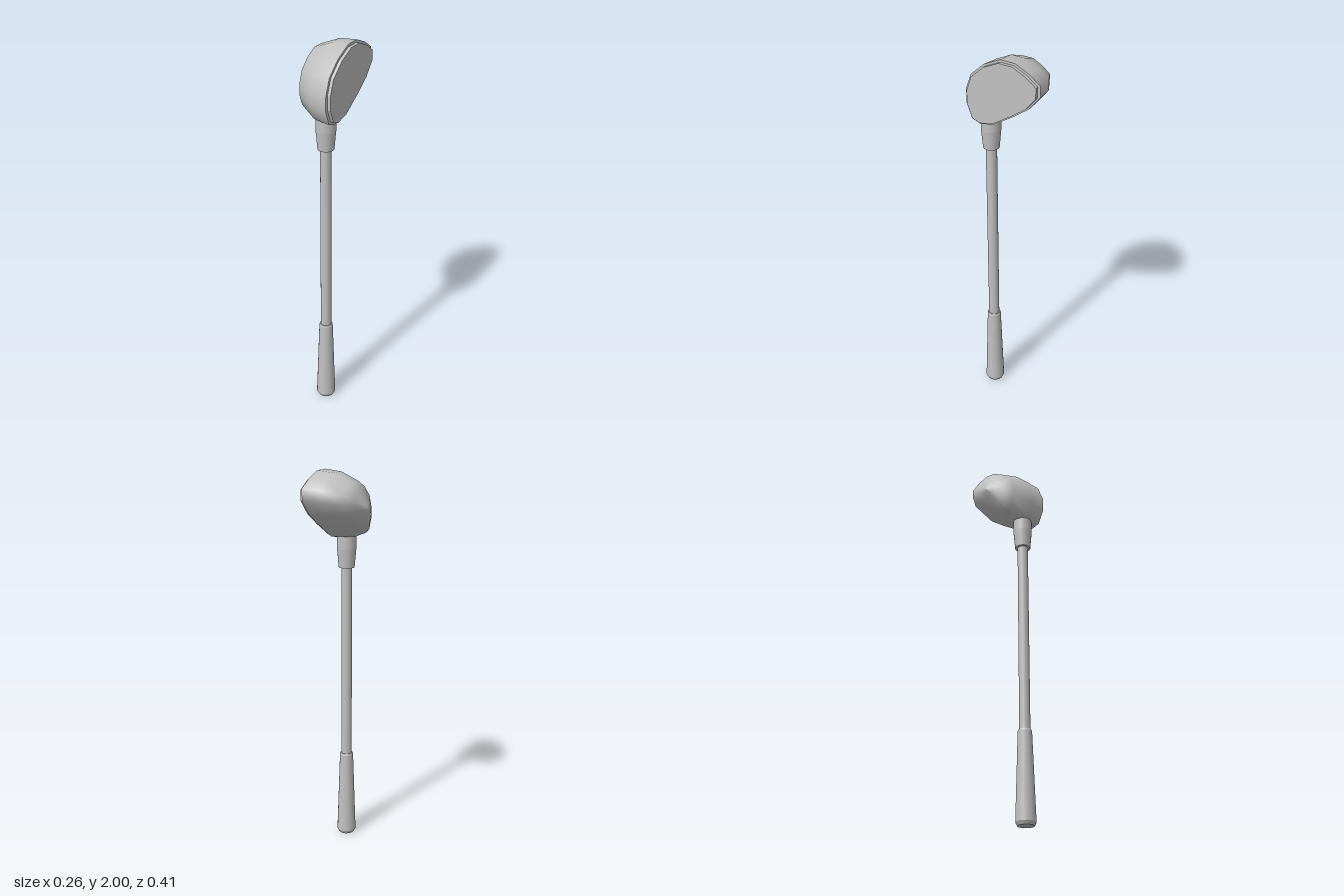
import * as THREE from 'three';

const CY = 1.822; // height of the head's centre
const AXIS = { x: 0.055, z: 0.108 }; // shaft position

// Face outline as (-z, y - CY), counter-clockwise seen from +x
const OUTLINE = [
  [-0.01, 0.178], [-0.1, 0.135], [-0.175, 0.068], [-0.205, -0.012], [-0.205, -0.087],
  [-0.175, -0.16], [-0.13, -0.177], [-0.055, -0.162], [0.055, -0.092], [0.145, -0.027],
  [0.205, 0.046], [0.205, 0.103], [0.145, 0.145], [0.07, 0.178],
];

// Hollow-backed bowl: the outline shrinks towards a blunt point
function bowlGeometry() {
  // x, scale along z, scale along y, z shift
  const rings = [
    [0.115, 1, 1, 0], [0.025, 0.94, 0.955, 0], [-0.07, 0.68, 0.74, 0],
    [-0.1, 0.42, 0.45, 0], [-0.125, 0.14, 0.16, 0.005], [-0.132, 0, 0, 0],
  ];
  const n = OUTLINE.length;
  const pos = [], index = [];
  for (const [x, sz, sy, dz] of rings)
    for (const [u, v] of OUTLINE) pos.push(x, CY + v * sy, -u * sz + dz);
  for (let i = 0; i < rings.length - 1; i++)
    for (let j = 0; j < n; j++) {
      const k = (j + 1) % n;
      const a = i * n + j, b = i * n + k, c = a + n, d = b + n;
      index.push(a, c, b);
      if (i < rings.length - 2) index.push(b, c, d);
    }
  const g = new THREE.BufferGeometry();
  g.setAttribute('position', new THREE.Float32BufferAttribute(pos, 3));
  g.setIndex(index);
  g.computeVertexNormals();
  return g;
}

function outlineShape(scale) {
  return new THREE.Shape(OUTLINE.map(([u, v]) => new THREE.Vector2(u * scale, v * scale)));
}

export function createModel() {
  const model = new THREE.Group();
  model.name = 'golfClub';
  const metal = new THREE.MeshStandardMaterial({ color: 0xc0c0c0 });
  metal.name = 'grey metal';

  const add = (parent, name, geometry) => {
    const mesh = new THREE.Mesh(geometry, metal);
    mesh.name = name;
    parent.add(mesh);
    return mesh;
  };

  // Round section of the club between two heights
  const section = (name, y0, r0, y1, r1) => {
    const mesh = add(model, name, new THREE.CylinderGeometry(r1, r0, y1 - y0, 16));
    mesh.position.set(AXIS.x, (y0 + y1) / 2, AXIS.z);
  };

  // Grip with bevelled ends
  section('gripEnd', 0, 0.042, 0.018, 0.051);
  section('grip', 0.018, 0.051, 0.465, 0.036);
  section('gripTop', 0.465, 0.036, 0.475, 0.032);

  // Shaft and the sleeve that joins it to the head
  section('shaft', 0.47, 0.028, 1.51, 0.028);
  section('sleeveTaper', 1.5, 0.041, 1.6, 0.05);
  section('sleeve', 1.6, 0.05, 1.68, 0.05);

  // Head: bowl, rim and raised striking plate
  const head = new THREE.Group();
  head.name = 'head';
  model.add(head);
  add(head, 'bowl', bowlGeometry());

  const rim = add(head, 'rim', new THREE.ShapeGeometry(outlineShape(1)));
  const plate = add(head, 'strikingFace',
    new THREE.ExtrudeGeometry(outlineShape(0.93), { depth: 0.016, bevelEnabled: false }));
  for (const m of [rim, plate]) {
    m.rotation.y = Math.PI / 2;
    m.position.set(0.115, CY, 0);
  }
  return model;
}
